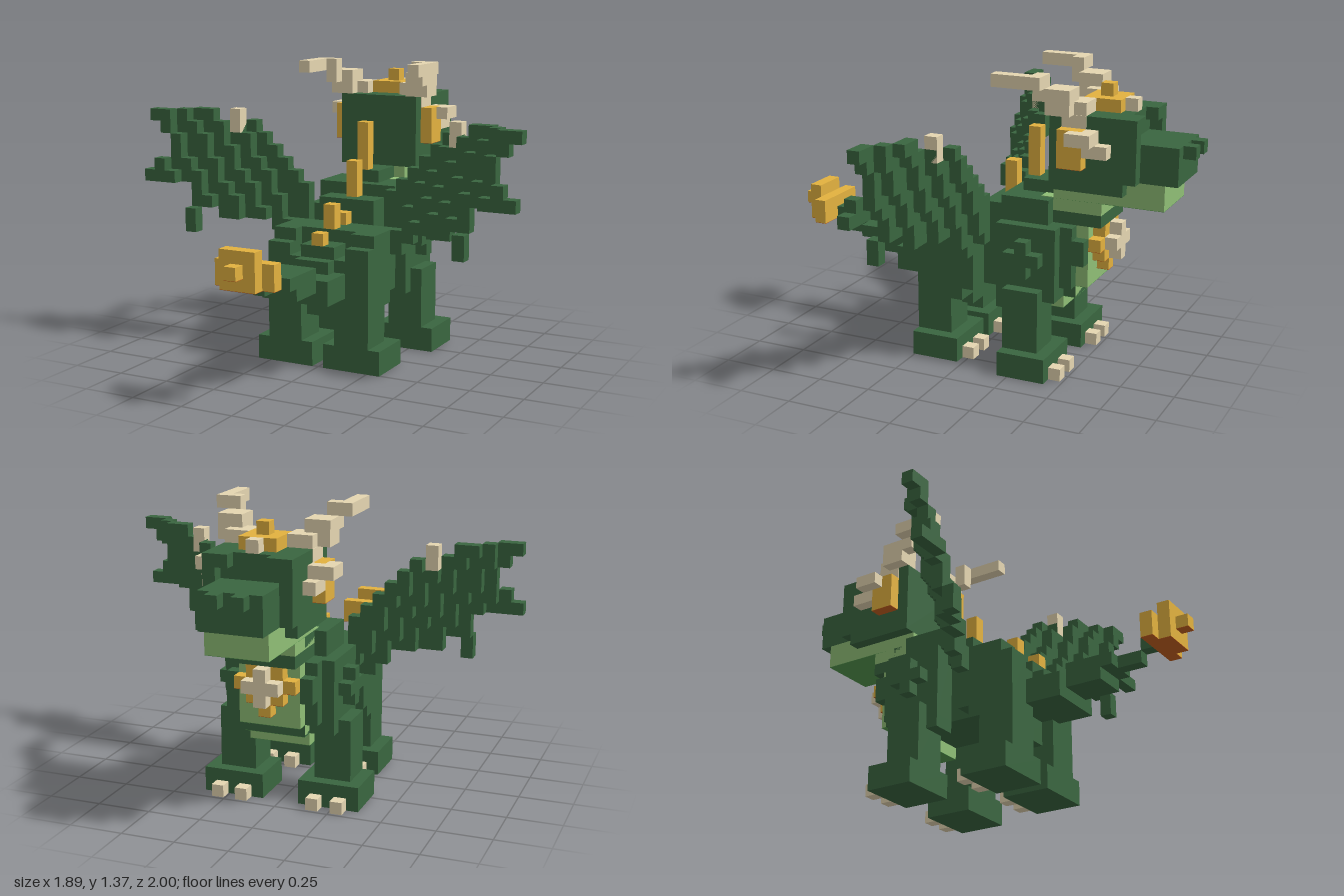
import * as THREE from 'three';
import { mergeGeometries } from 'three/addons/utils/BufferGeometryUtils.js';

const U = 2 / 35; // edge of one cube

const flat = (name, color) => {
  const m = new THREE.MeshStandardMaterial({ color });
  m.name = name;
  return m;
};

// box from [x0, x1, y0, y1, z0, z1] in cube units
function block([x0, x1, y0, y1, z0, z1]) {
  const g = new THREE.BoxGeometry((x1 - x0) * U, (y1 - y0) * U, (z1 - z0) * U);
  return g.translate((x0 + x1) / 2 * U, (y0 + y1) / 2 * U, (z0 + z1) / 2 * U);
}
const flip = ([x0, x1, y0, y1, z0, z1]) => [-x1, -x0, y0, y1, z0, z1];
// thin plate covering the bottom of a box
const sole = ([x0, x1, y0, , z0, z1]) => [x0, x1, y0 - 0.03, y0, z0, z1];

export function createModel() {
  const model = new THREE.Group();
  model.name = 'dragon';
  const green = flat('scale green', 0x3a6640);
  const pale = flat('belly green', 0x8fbe76);
  const leaf = flat('underside green', 0x569a50);
  const gold = flat('gold', 0xe3b23f);
  const brown = flat('underside brown', 0xc8621f);
  const bone = flat('bone', 0xe5d6b1);

  const part = (name, material, boxes, under) => {
    const mesh = new THREE.Mesh(mergeGeometries(boxes.map(block)), material);
    mesh.name = name;
    model.add(mesh);
    if (under) part(name + ' underside', under, boxes.map(sole));
  };
  const pair = (name, material, boxes, under) => {
    part('left ' + name, material, boxes, under);
    part('right ' + name, material, boxes.map(flip), under);
  };
  // centred boxes: [half width, y0, y1, z0, z1]
  const mid = (name, material, boxes, under) =>
    part(name, material, boxes.map(([w, ...r]) => [-w, w, ...r]), under);

  // torso, stepping down towards the tail
  mid('body', green, [
    [2.5, 6, 14, -8.5, -2.5],
    [2.5, 6, 13, -2.5, -0.5],
    [2.5, 6, 11, -0.5, 2.5],
    [2.5, 6, 9, 2.5, 4.5],
    [1.5, 9, 10, 2.5, 4.5],
    [2.5, 4, 6, 0.5, 3.5],
    [1.5, 14, 15, -6.5, -3.5],
    [2.5, 12, 13, -10.5, -8.5],
  ]);
  mid('belly', pale, [
    [2.5, 5, 6, -7.5, -5.5],
    [2.5, 6, 7, -8.5, -7.5],
    [2.5, 7, 12, -9.5, -8.5],
  ], leaf);
  mid('throat', pale, [[2.5, 13, 14.05, -10.5, -5.5]]);

  // tail
  mid('tail', green, [
    [2.5, 6, 8, 4.5, 7.5],
    [1.5, 8, 9, 4.5, 5.5],
    [1.5, 7, 8, 7.5, 10.5],
    [1.5, 8, 9, 7.5, 11.5],
    [0.5, 8, 9, 11.5, 13.5],
    [0.5, 9, 10, 13.5, 14.5],
  ]);
  mid('tail tip', gold, [
    [2.5, 9, 11, 14.5, 15.5],
    [1.5, 9, 12, 15.5, 16.5],
    [0.5, 10, 11, 16.5, 17.5],
  ], brown);
  mid('back spines', gold, [
    [0.5, 15, 19, -4.5, -3.5],
    [0.5, 13, 16, -2.5, -1.5],
    [0.5, 11, 12, -0.5, 0.5],
    [0.5, 11, 13, 1.5, 2.5],
    [0.5, 10, 11, 3.5, 4.5],
  ]);

  // legs
  pair('front leg', green, [
    [1.5, 6.5, 0, 2, -7.5, -3.5],
    [2.5, 5.5, 2, 7, -6.5, -3.5],
  ]);
  pair('shoulder', green, [
    [2.5, 4.5, 6, 12, -7.5, -2.5],
    [2.5, 4.5, 5, 6, -6.5, -2.5],
    [2.5, 3.5, 12, 14, -6.5, -2.5],
    [2.5, 3.5, 7, 12, -8.5, -7.5],
    [2.5, 3.5, 9, 11, -9.5, -8.5],
    [4.5, 5.5, 8, 11, -5.5, -4.5],
    [4.5, 5.5, 9, 10, -6.5, -3.5],
  ]);
  pair('back leg', green, [
    [0.5, 5.5, 0, 2, 0.5, 4.5],
    [1.5, 4.5, 2, 6, 1.5, 4.5],
  ]);
  pair('thigh', green, [
    [1.5, 4.5, 5, 6, 0.5, 4.5],
    [2.5, 4.5, 6, 10, 0.5, 4.5],
    [2.5, 4.5, 6, 11, -0.5, 3.5],
  ]);
  pair('front claws', bone, [2.5, 4.5].map(x => [x, x + 1, 0, 1, -8.5, -7.5]));
  pair('back claws', bone, [1.5, 3.5].map(x => [x, x + 1, 0, 1, -0.5, 0.5]));

  // wings: one sheet of cubes sweeping back towards the tip; [x, bottom, top]
  const columns = [
    [4, 8, 14], [5, 9, 15], [6, 10, 16], [7, 11, 17], [8, 11, 18],
    [9, 11, 19], [10, 11, 19], [11, 12, 19], [12, 10, 20], [13, 14, 20],
    [14, 14, 20], [15, 18, 20], [15, 14, 16], [16, 19, 20], [16, 14, 15],
  ];
  const cells = [];
  for (const [x, bottom, top] of columns) {
    for (let y = bottom; y < top; y++) {
      const z = Math.max(-1, Math.min(4, Math.round(0.44 + 0.6 * x - 0.36 * y)));
      cells.push([x - 0.5, x + 0.5, y, y + 1, z - 0.5, z + 0.5]);
    }
  }
  pair('wing', green, cells);
  pair('wing claw', bone, [[9.5, 10.5, 18, 20, -0.52, 0.52]]);

  // head
  mid('head', green, [
    [3.5, 15, 21, -12.5, -6.5],
    [2.5, 16, 19, -16.5, -12.5],
  ]);
  pair('brow', green, [
    [1.5, 3.5, 20, 21, -13.5, -12.5],
    [2.5, 3.5, 16, 20, -13.5, -12.5],
  ]);
  pair('nostril', green, [[0.5, 1.5, 18, 19, -17.5, -16.5]]);
  mid('jaw', pale, [
    [2.5, 14, 15, -12.5, -6.5],
    [2.5, 14, 16, -15.5, -12.5],
  ], leaf);
  mid('crest', gold, [
    [1.5, 21, 22, -11.5, -8.5],
    [0.5, 22, 23, -10.5, -9.5],
  ]);
  mid('forehead stud', bone, [[0.5, 21, 22, -12.5, -11.5]]);
  pair('ear', gold, [[3.5, 4.5, 17, 20, -9.5, -7.5]], brown);
  pair('cheek horn', bone, [
    [4.5, 5.5, 19, 20, -10.5, -8.5],
    [3.5, 4.5, 19, 20, -10.5, -9.5],
    [3.5, 4.5, 18, 19, -11.5, -9.5],
  ]);
  pair('horn', bone, [
    [1.5, 3.5, 21, 22, -9.5, -7.5],
    [2.5, 4.5, 21, 22, -8.5, -6.5],
    [2.5, 3.5, 22, 23, -8.5, -6.5],
    [3.5, 4.5, 22, 23, -8.5, -5.5],
    [3.5, 4.5, 23, 24, -6.5, -5.5],
    [4.5, 5.5, 23, 24, -6.5, -2.5],
  ]);
  pair('horn root', bone, [[3.5, 3.55, 20, 21, -9.5, -7.5]]);

  // chest ornament
  mid('chest plate', gold, [
    [2.5, 10, 11, -10.5, -9.5],
    [1.5, 9, 12, -10.5, -9.5],
    [0.5, 8, 9, -10.5, -9.5],
  ], brown);
  mid('chest cross', bone, [
    [0.5, 9, 12, -11.5, -10.5],
    [1.5, 10, 11, -11.5, -10.5],
  ]);

  return model;
}
